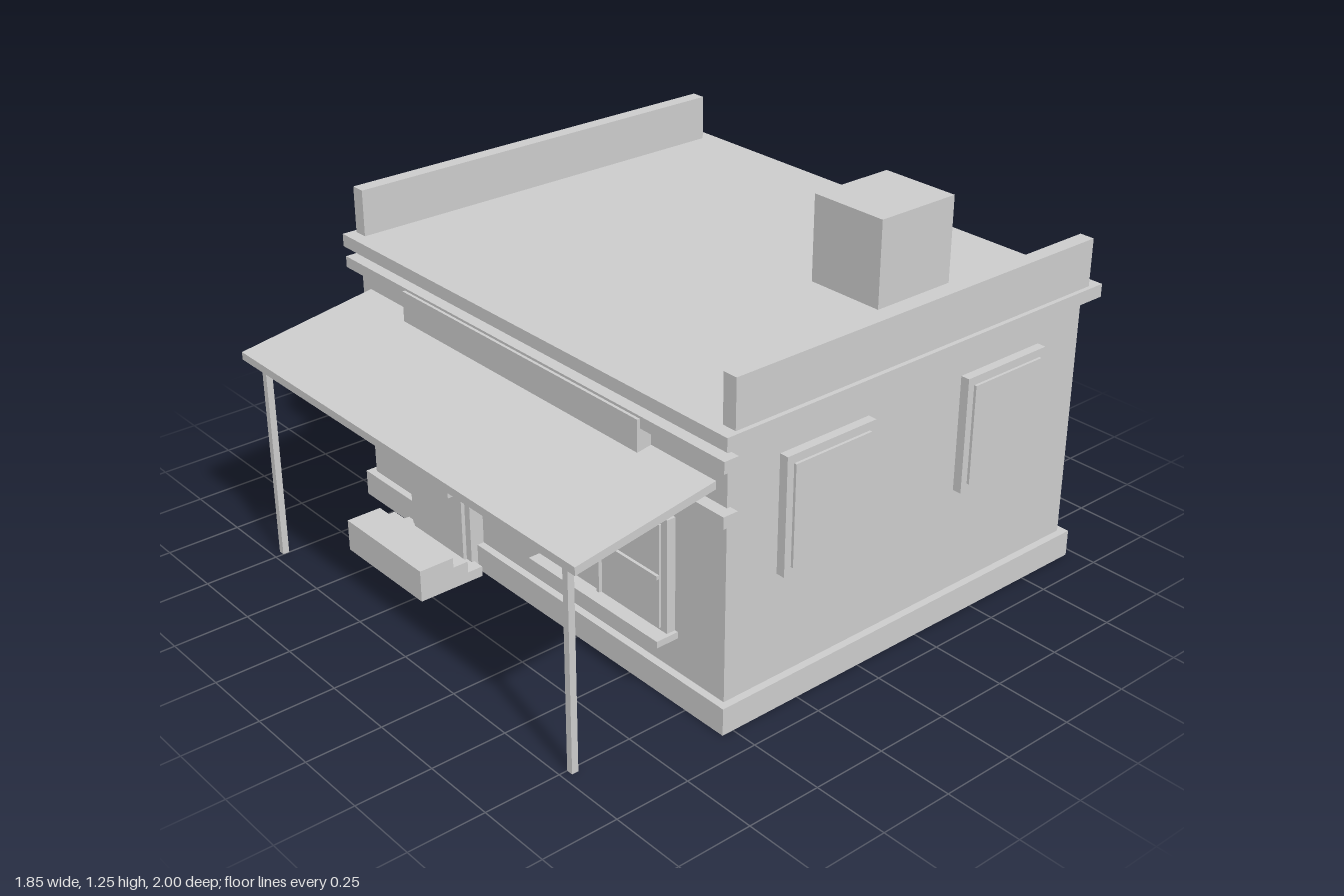
import * as THREE from 'three';

const material = new THREE.MeshStandardMaterial({ color: 0xcccccc, flatShading: true });

// Box given by its extents along each axis
function box(parent, name, [x0, x1], [y0, y1], [z0, z1]) {
  const mesh = new THREE.Mesh(new THREE.BoxGeometry(x1 - x0, y1 - y0, z1 - z0), material);
  mesh.position.set((x0 + x1) / 2, (y0 + y1) / 2, (z0 + z1) / 2);
  mesh.name = name;
  parent.add(mesh);
  return mesh;
}

function group(parent, name) {
  const g = new THREE.Group();
  g.name = name;
  parent.add(g);
  return g;
}

export function createModel() {
  const house = new THREE.Group();
  house.name = 'house';

  // Main body
  box(house, 'walls', [-0.885, 0.885], [0.05, 0.93], [-0.945, 0.515]);
  box(house, 'plinth', [-0.91, 0.91], [0, 0.09], [-0.97, 0.54]);
  box(house, 'roofSlab', [-0.925, 0.925], [0.92, 0.963], [-0.99, 0.555]);
  box(house, 'chimney', [0.335, 0.615], [0.95, 1.25], [-0.64, -0.33]);
  box(house, 'upperTrim', [-0.915, 0.915], [0.85, 0.888], [0.503, 0.555]);
  box(house, 'lowerTrim', [-0.915, 0.915], [0.682, 0.72], [0.503, 0.555]);
  box(house, 'signBoard', [-0.575, 0.57], [0.775, 0.88], [0.51, 0.565]);

  // Sloping porch roof, extruded from its side profile
  const profile = new THREE.Shape([[0.51, 0.76], [1, 0.682], [1, 0.708], [0.51, 0.786]]
    .map(([z, y]) => new THREE.Vector2(-z, y)));
  const canopy = new THREE.Mesh(
    new THREE.ExtrudeGeometry(profile, { depth: 1.68, bevelEnabled: false }), material);
  canopy.rotation.y = Math.PI / 2;
  canopy.position.x = -0.84;
  canopy.name = 'porchRoof';
  house.add(canopy);

  // Parapets, porch posts and side windows on both sides
  for (const s of [-1, 1]) {
    const span = (a, b) => (s > 0 ? [a, b] : [-b, -a]);
    box(house, 'parapet', span(0.86, 0.91), [0.95, 1.12], [-0.945, 0.512]);
    box(house, 'porchPost', span(0.75, 0.772), [0, 0.695], [0.95, 0.972]);
    for (const z of [0.15, -0.582]) {
      const win = group(house, 'sideWindow');
      box(win, 'frame', span(0.87, 0.915), [0.437, 0.82], [z - 0.172, z + 0.172]);
      box(win, 'pane', span(0.87, 0.924), [0.463, 0.793], [z - 0.147, z + 0.147]);
    }

    // Rear window
    const x = s * 0.477;
    const rear = group(house, 'rearWindow');
    box(rear, 'frame', [x - 0.168, x + 0.168], [0.315, 0.69], [-0.999, -0.965]);
    box(rear, 'pane', [x - 0.145, x + 0.145], [0.335, 0.667], [-0.97, -0.94]);
    box(rear, 'sill', [x - 0.179, x + 0.179], [0.3, 0.323], [-1, -0.94]);
  }

  // Front door
  const door = group(house, 'frontDoor');
  box(door, 'frame', [-0.595, -0.263], [0.015, 0.573], [0.51, 0.565]);
  box(door, 'panel', [-0.567, -0.29], [0.02, 0.538], [0.51, 0.578]);
  box(door, 'handle', [-0.35, -0.335], [0.25, 0.315], [0.57, 0.596]);

  // Steps by the door
  const steps = group(house, 'steps');
  [[0.665, 0.79, 0.11], [0.61, 0.665, 0.075], [0.555, 0.61, 0.035]].forEach(([z0, z1, h]) =>
    box(steps, 'step', [-0.635, -0.22], [0, h], [z0, z1]));

  // Front window with crossing bars
  const win = group(house, 'frontWindow');
  box(win, 'frame', [0.098, 0.675], [0.21, 0.6], [0.51, 0.546]);
  box(win, 'pane', [0.122, 0.65], [0.237, 0.577], [0.51, 0.554]);
  box(win, 'verticalBar', [0.38, 0.392], [0.237, 0.577], [0.54, 0.566]);
  box(win, 'horizontalBar', [0.122, 0.65], [0.401, 0.414], [0.54, 0.564]);
  box(win, 'sill', [0.087, 0.687], [0.204, 0.226], [0.51, 0.594]);

  return house;
}
